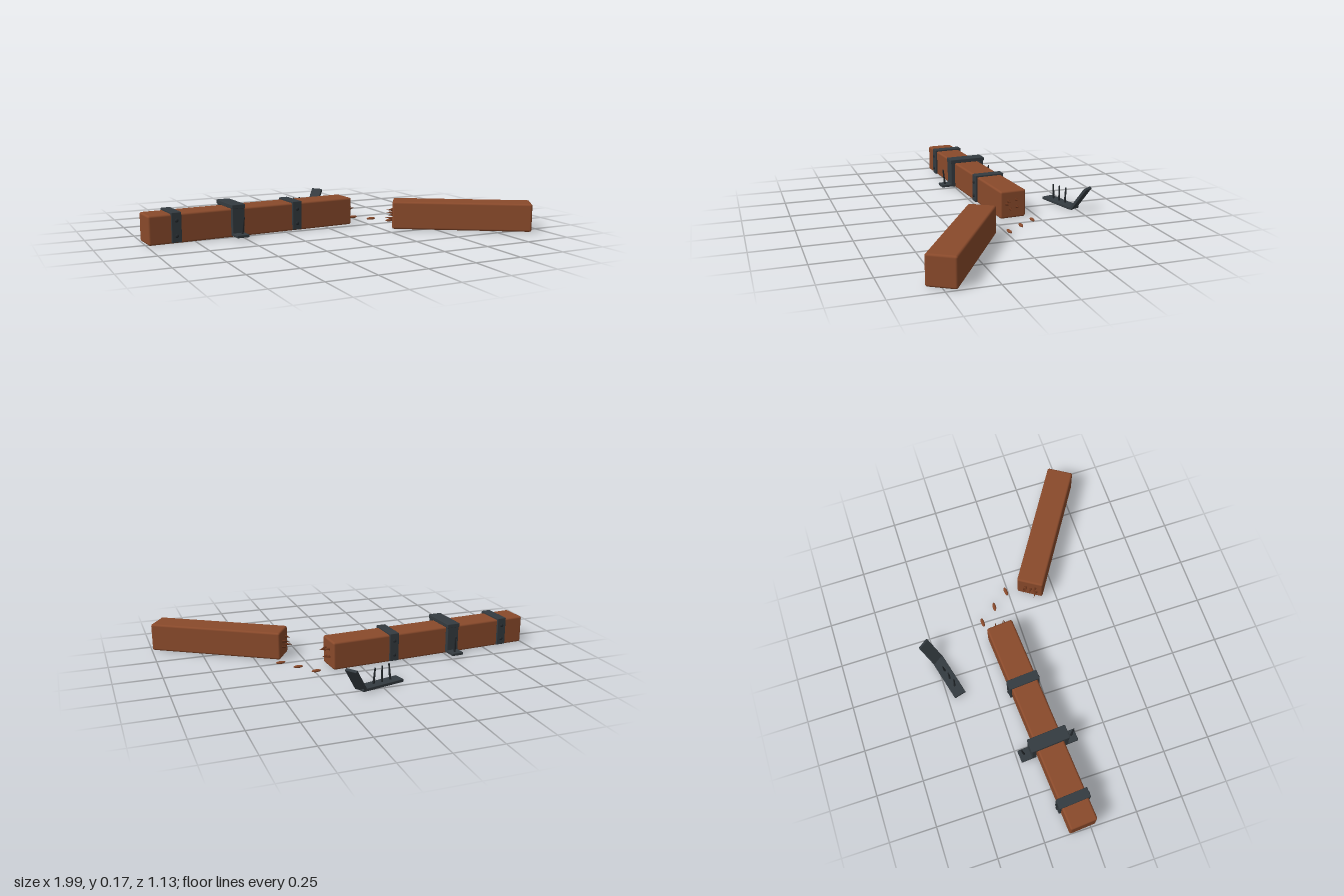
import * as THREE from 'three';
import { RoundedBoxGeometry } from 'three/addons/geometries/RoundedBoxGeometry.js';

export function createModel() {
  const wood = new THREE.MeshStandardMaterial({ name: 'wood', color: 0x8a4a2b });
  const darkWood = new THREE.MeshStandardMaterial({ name: 'splinterWood', color: 0x6b351c });
  const iron = new THREE.MeshStandardMaterial({ name: 'iron', color: 0x343b40 });
  const darkIron = new THREE.MeshStandardMaterial({ name: 'nailIron', color: 0x24292d });
  const UP = new THREE.Vector3(0, 1, 0);

  const group = (parent, name, x, y, z, ry = 0) => {
    const g = new THREE.Group();
    g.name = name;
    g.position.set(x, y, z);
    g.rotation.y = ry;
    parent.add(g);
    return g;
  };
  const add = (parent, name, geometry, material, x, y, z) => {
    const m = new THREE.Mesh(geometry, material);
    m.name = name;
    m.position.set(x, y, z);
    parent.add(m);
    return m;
  };
  const bar = (parent, name, w, h, d, x, y, z) =>
    add(parent, name, new RoundedBoxGeometry(w, h, d, 1, 0.003), iron, x, y, z);

  // Tapered nail whose base sits at the given point
  const nail = (parent, x, y, z, height, tiltX, tiltZ) => {
    const geo = new THREE.CylinderGeometry(0.004, 0.006, height, 8).translate(0, height / 2, 0);
    add(parent, 'nail', geo, darkIron, x, y, z).rotation.set(tiltX, 0, tiltZ);
  };

  // Timber lying along x, with splinters on one broken end
  const timber = (parent, length, end, spots) => {
    add(parent, 'timber', new RoundedBoxGeometry(length, 0.15, 0.146, 2, 0.011), wood, 0, 0.075, 0);
    spots.forEach(([y, z], i) => {
      const len = 0.032 + (i % 3) * 0.006;
      const cone = add(parent, 'splinter', new THREE.ConeGeometry(0.009, len, 5), darkWood,
        end * (length / 2 + len / 2 - 0.004), y, z);
      const dir = new THREE.Vector3(end, 0.12 * ((i % 3) - 1), 0.1 * ((i % 2) * 2 - 1)).normalize();
      cone.quaternion.setFromUnitVectors(UP, dir);
    });
  };

  const model = new THREE.Group();
  model.name = 'brokenBeam';

  // Long half with its ironwork
  const longHalf = group(model, 'longHalf', -0.418, 0, -0.081, 0.067);
  timber(longHalf, 1.155, 1, [[0.095, 0.028], [0.1, -0.015], [0.083, 0.038], [0.05, 0.018], [0.06, -0.022]]);

  // Narrow straps over the top and both sides, with rivets
  for (const x of [-0.437, 0.233]) {
    const strap = group(longHalf, 'strap', x, 0, 0);
    bar(strap, 'strapTop', 0.052, 0.012, 0.17, 0, 0.153, 0);
    for (const s of [-1, 1]) {
      bar(strap, 'strapSide', 0.052, 0.15, 0.012, 0, 0.081, s * 0.079);
      for (const y of [0.04, 0.118]) {
        const rivet = add(strap, 'rivet', new THREE.SphereGeometry(0.01, 10, 6), darkIron, 0, y, s * 0.085);
        rivet.scale.z = 0.7;
      }
    }
  }

  // Wide bracket with nailed feet
  const bracket = group(longHalf, 'bracket', -0.113, 0, 0);
  bar(bracket, 'bracketTop', 0.073, 0.022, 0.212, 0, 0.163, 0);
  for (const s of [-1, 1]) {
    bar(bracket, 'bracketLeg', 0.066, 0.156, 0.025, 0, 0.088, s * 0.09);
    bar(bracket, 'bracketFoot', 0.066, 0.015, 0.07, 0, 0.018, s * 0.126);
    nail(bracket, 0.005, 0.02, s * 0.134, 0.095, s * 0.14, -0.06);
  }

  // Short half, swung away
  const shortHalf = group(model, 'shortHalf', 0.647, 0, 0.31, -0.563);
  timber(shortHalf, 0.738, -1, [[0.1, 0.03], [0.09, -0.02], [0.055, 0.035], [0.06, -0.03], [0.08, 0.005]]);

  // Loose wood chips on the ground
  [[0.248, -0.192, 0], [0.318, -0.102, -0.08], [0.388, -0.012, 0.05]].forEach(([x, z, ry]) => {
    const chip = add(model, 'woodChip', new THREE.SphereGeometry(0.027, 10, 6), wood, x, 0.011, z);
    chip.scale.set(1, 0.28, 0.36);
    chip.rotation.y = ry;
  });

  // Torn-off plate with a bent end and upright nails
  const plate = group(model, 'tornPlate', 0.003, 0, -0.462, 0.25);
  bar(plate, 'plateFlat', 0.245, 0.016, 0.066, 0, 0.009, 0);
  [-0.062, -0.011, 0.041].forEach((x, i) => nail(plate, x, 0.014, 0, 0.087, 0.08 * (1 - i), 0.05 * (i - 1)));
  const bend = group(model, 'plateBend', 0.115, 0.008, -0.491, 0.62);
  const flap = new RoundedBoxGeometry(0.155, 0.016, 0.066, 1, 0.003).translate(0.072, 0, 0);
  add(bend, 'plateFlap', flap, iron, 0, 0, 0).rotation.z = 0.96;

  return model;
}
